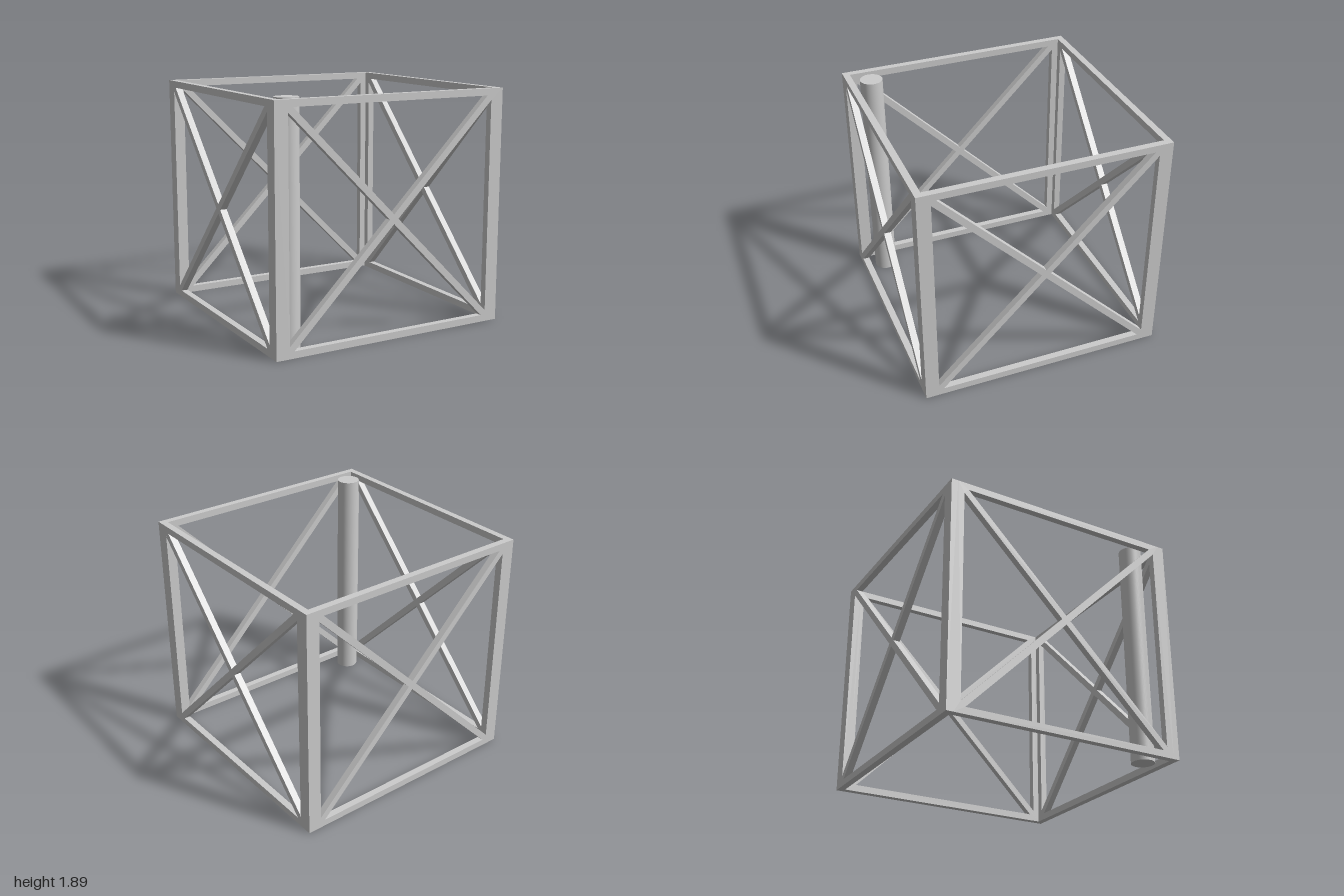
import * as THREE from 'three';

const H = 1.89;       // frame height
const T = 0.055;      // panel thickness and rail height
const STILE = 0.11;   // upright width on each face
const mat = new THREE.MeshStandardMaterial({ color: 0xcccccc });

const polygon = (Type, pts) => new Type(pts.map(([x, y]) => new THREE.Vector2(x, y)));

// Flat frame with diagonal cross braces, left by four triangular openings
function panelGeometry(halfWidth) {
  const cy = H / 2;
  const x = 1 - STILE, y = cy - T;      // opening half sizes
  const g = 0.0375;                     // half brace width along an axis
  const shape = polygon(THREE.Shape, [[-halfWidth, 0], [halfWidth, 0], [halfWidth, H], [-halfWidth, H]]);
  for (const s of [1, -1]) {
    shape.holes.push(polygon(THREE.Path, [[-(y - g), cy + s * y], [y - g, cy + s * y], [0, cy + s * g]]));
    shape.holes.push(polygon(THREE.Path, [[s * x, cy + x - g], [s * x, cy - x + g], [s * g, cy]]));
  }
  return new THREE.ExtrudeGeometry(shape, { depth: T, bevelEnabled: false });
}

export function createModel() {
  const model = new THREE.Group();
  model.name = 'bracedFrame';

  // Four braced sides; the left and right ones butt between front and back
  const wide = panelGeometry(1), narrow = panelGeometry(1 - T);
  ['frontPanel', 'leftPanel', 'backPanel', 'rightPanel'].forEach((name, i) => {
    const side = new THREE.Group();
    side.name = name;
    const panel = new THREE.Mesh(i % 2 ? narrow : wide, mat);
    panel.name = name + 'Frame';
    panel.position.z = 1 - T;
    side.add(panel);
    side.rotation.y = i * Math.PI / 2;
    model.add(side);
  });

  // Round column inside the front right corner
  const column = new THREE.Mesh(new THREE.CylinderGeometry(0.093, 0.093, H, 48), mat);
  column.name = 'column';
  column.position.set(-0.803, H / 2, 0.803);
  model.add(column);

  return model;
}
